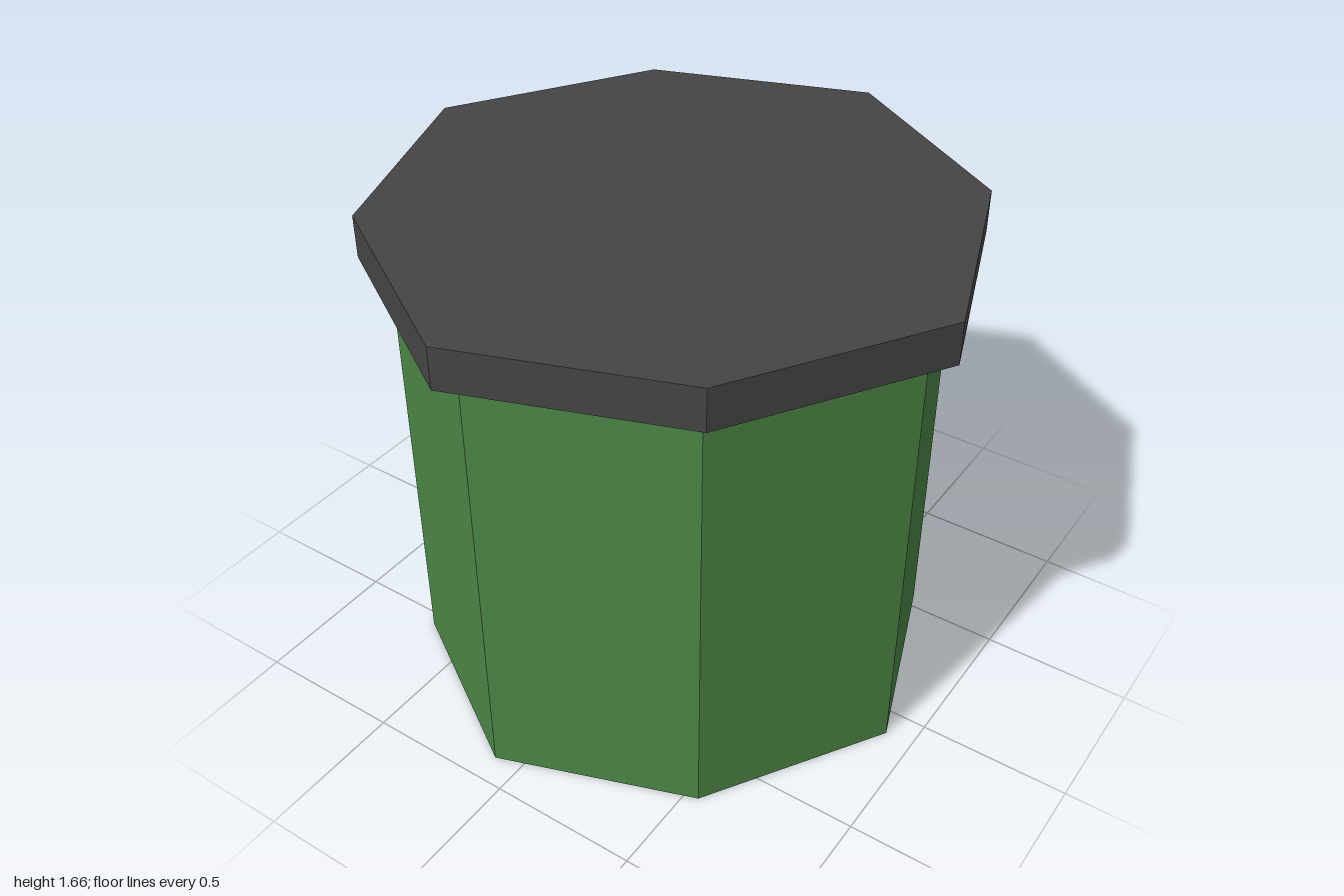
import * as THREE from 'three';

// Slightly uneven octagon: two corners repeated by quarter turns
function octagon(scale) {
  const corners = [[1.0, 0.104], [0.602, 0.745]];
  const points = [];
  for (let turn = 0; turn < 4; turn++) {
    for (const [x, z] of corners) {
      const v = new THREE.Vector2(x, z).multiplyScalar(scale);
      points.push(v.rotateAround(new THREE.Vector2(), turn * Math.PI / 2));
    }
  }
  // Negated because the extrusion is laid down onto the ground plane
  return new THREE.Shape(points.map(p => new THREE.Vector2(p.x, -p.y)));
}

function prism(name, scale, bottom, top, material) {
  const geometry = new THREE.ExtrudeGeometry(octagon(scale), { depth: top - bottom, bevelEnabled: false });
  geometry.rotateX(-Math.PI / 2);
  geometry.translate(0, bottom, 0);
  const mesh = new THREE.Mesh(geometry, material);
  mesh.name = name;
  return mesh;
}

export function createModel() {
  const green = new THREE.MeshStandardMaterial({ color: 0x4b8545 });
  green.name = 'green';
  const darkGrey = new THREE.MeshStandardMaterial({ color: 0x454545 });
  darkGrey.name = 'dark grey';

  const model = new THREE.Group();
  model.name = 'liddedBin';
  model.add(prism('body', 0.907, 0, 1.52, green));
  model.add(prism('lid', 1, 1.52, 1.66, darkGrey));
  return model;
}
